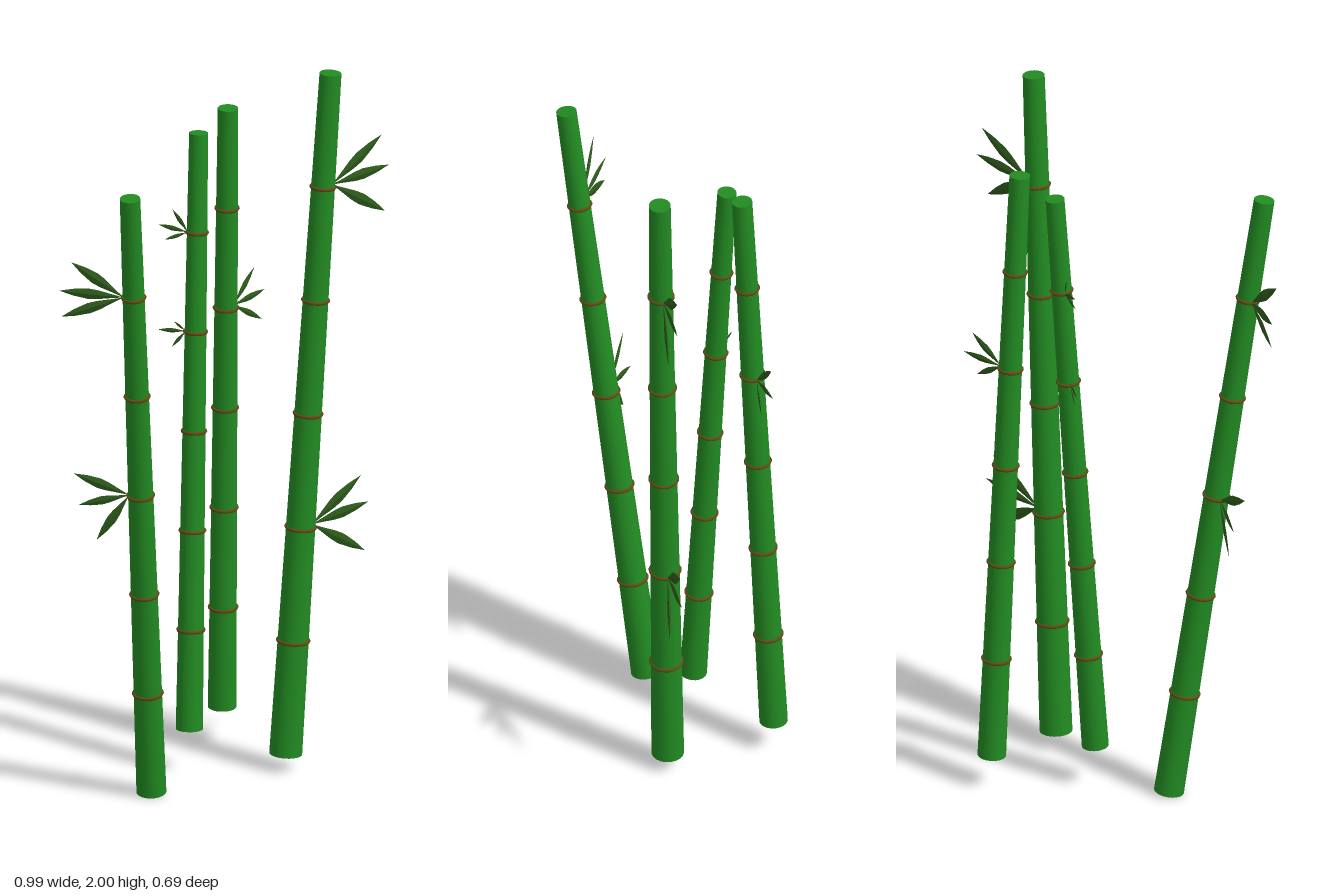
import * as THREE from 'three';

const stalkMat = new THREE.MeshStandardMaterial({ color: 0x228b22 });
const ringMat = new THREE.MeshStandardMaterial({ color: 0x654a14 });
const leafMat = new THREE.MeshStandardMaterial({ color: 0x2d5a1b, flatShading: true });

const SEGMENTS = 6;
const UP = new THREE.Vector3(0, 1, 0);

// Each stalk: end points, end radii, and leaf clusters (node number, leaf tips)
const stalks = [
  {
    name: 'leftStalk', base: [-0.206, 0.006, 0.083], top: [-0.318, 1.805, 0.318], r: [0.041, 0.028],
    clusters: [
      { node: 5, tips: [[-0.47, 1.615, 0.265], [-0.497, 1.525, 0.235], [-0.492, 1.45, 0.237]] },
      { node: 3, tips: [[-0.444, 0.975, 0.18], [-0.425, 0.875, 0.157], [-0.378, 0.775, 0.17]] },
    ],
  },
  {
    name: 'middleStalk', base: [-0.067, 0.125, -0.067], top: [-0.019, 1.805, -0.166], r: [0.037, 0.026],
    clusters: [
      { node: 5, tips: [[-0.09, 1.587, -0.172], [-0.13, 1.548, -0.17], [-0.115, 1.507, -0.158]] },
      { node: 4, tips: [[-0.09, 1.27, -0.16], [-0.132, 1.247, -0.165], [-0.097, 1.2, -0.15]] },
    ],
  },
  {
    name: 'backStalk', base: [0.078, 0.095, -0.308], top: [0.075, 1.85, -0.221], r: [0.039, 0.028],
    clusters: [
      { node: 4, tips: [[0.169, 1.352, -0.315], [0.2, 1.283, -0.324], [0.185, 1.21, -0.29]] },
    ],
  },
  {
    name: 'rightStalk', base: [0.194, 0.045, -0.034], top: [0.318, 1.998, -0.03], r: [0.045, 0.03],
    clusters: [
      { node: 5, tips: [[0.476, 1.785, -0.1], [0.497, 1.695, -0.104], [0.481, 1.572, -0.078]] },
      { node: 2, tips: [[0.418, 0.807, -0.1], [0.441, 0.727, -0.108], [0.423, 0.6, -0.073]] },
    ],
  },
];

// Slender leaf of unit length with a diamond cross-section
const leafGeo = new THREE.LatheGeometry(
  [[0, 0], [0.3, 0.15], [0.85, 0.4], [1, 0.55], [0.65, 0.78], [0, 1]].map(([x, y]) => new THREE.Vector2(x, y)), 4);

function makeLeaf(from, to) {
  const dir = to.clone().sub(from);
  const length = dir.length();
  dir.normalize();
  const normal = new THREE.Vector3().crossVectors(UP, dir).normalize();
  const width = new THREE.Vector3().crossVectors(dir, normal);
  const leaf = new THREE.Mesh(leafGeo, leafMat);
  leaf.name = 'leaf';
  leaf.quaternion.setFromRotationMatrix(new THREE.Matrix4().makeBasis(width, dir, normal));
  leaf.position.copy(from);
  leaf.scale.set(length * 0.085, length, length * 0.025);
  return leaf;
}

function makeStalk({ name, base, top, r, clusters }) {
  const group = new THREE.Group();
  group.name = name;
  const a = new THREE.Vector3(...base);
  const b = new THREE.Vector3(...top);
  const axis = b.clone().sub(a);
  const length = axis.length();
  const tilt = new THREE.Quaternion().setFromUnitVectors(UP, axis.normalize());
  const radiusAt = (t) => THREE.MathUtils.lerp(r[0], r[1], t);

  // Tapered cane
  const cane = new THREE.Mesh(new THREE.CylinderGeometry(r[1], r[0], length, 20, SEGMENTS), stalkMat);
  cane.name = 'cane';
  cane.position.lerpVectors(a, b, 0.5);
  cane.quaternion.copy(tilt);
  group.add(cane);

  // Node rings between the segments
  for (let i = 1; i < SEGMENTS; i++) {
    const t = i / SEGMENTS;
    const geo = new THREE.TorusGeometry(radiusAt(t), 0.005, 6, 20).rotateX(Math.PI / 2);
    const ring = new THREE.Mesh(geo, ringMat);
    ring.name = 'nodeRing';
    ring.position.lerpVectors(a, b, t);
    ring.quaternion.copy(tilt);
    group.add(ring);
  }

  // Fans of leaves growing out of the nodes
  for (const { node, tips } of clusters) {
    const t = node / SEGMENTS;
    const centre = new THREE.Vector3().lerpVectors(a, b, t);
    const points = tips.map((p) => new THREE.Vector3(...p));
    const out = points[1].clone().sub(centre).setY(0).setLength(radiusAt(t) * 0.9);
    const start = centre.clone().add(out);
    const fan = new THREE.Group();
    fan.name = 'leafCluster';
    points.forEach((p) => fan.add(makeLeaf(start, p)));
    group.add(fan);
  }
  return group;
}

export function createModel() {
  const model = new THREE.Group();
  model.name = 'bambooGrove';
  stalks.forEach((s) => model.add(makeStalk(s)));
  return model;
}
